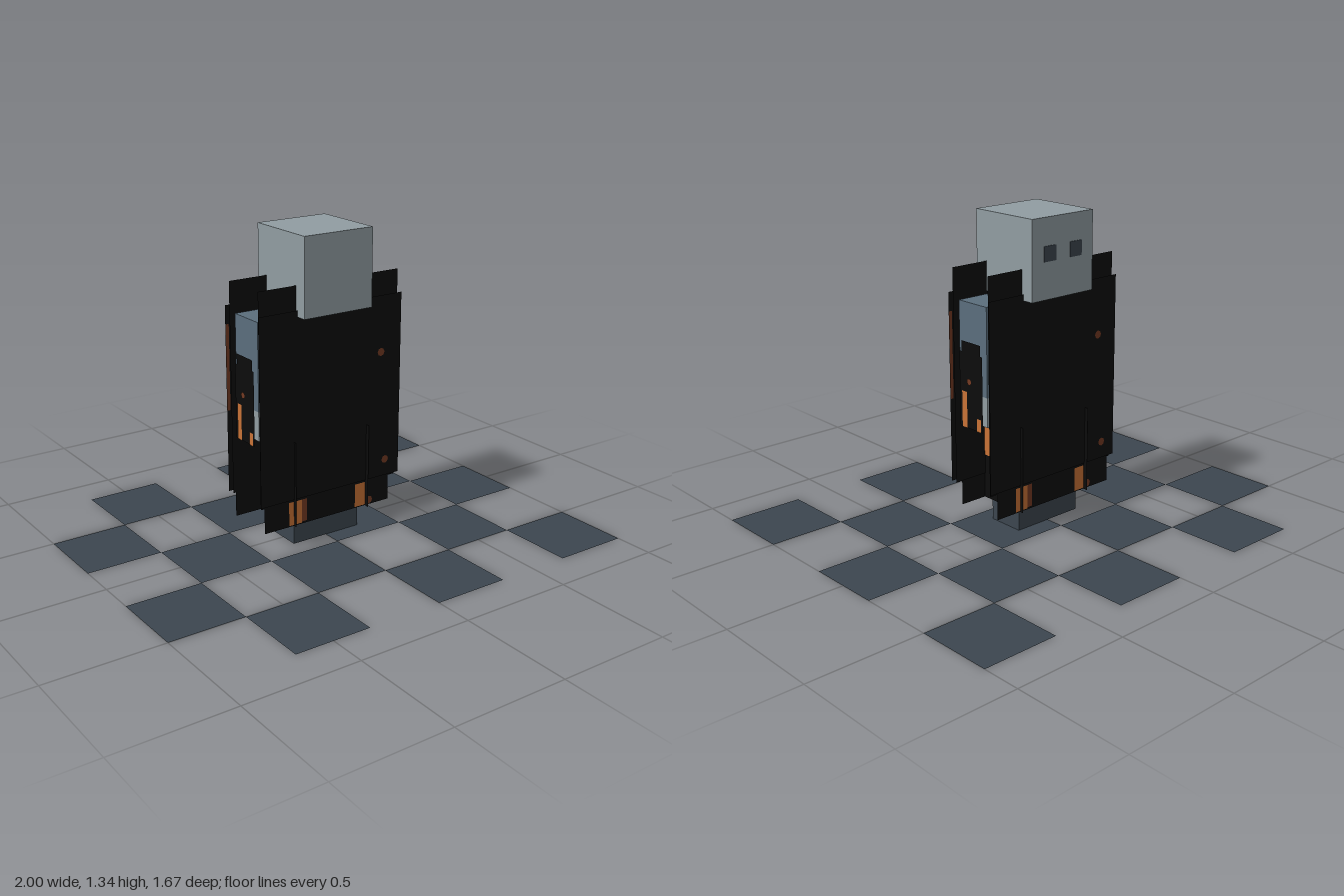
import * as THREE from 'three';

const mat = (name, color, side = THREE.FrontSide) => {
  const m = new THREE.MeshStandardMaterial({ color, side });
  m.name = name;
  return m;
};

export function createModel() {
  const root = new THREE.Group();
  root.name = 'coatedFigure';
  const D = THREE.DoubleSide;
  const skin = mat('pale grey', 0x919da2);
  const shirt = mat('slate blue', 0x5b6e7d);
  const dark = mat('dark slate', 0x3c464f, D);
  const black = mat('charred black', 0x0c0c0c, D);
  const orange = mat('ember orange', 0xc87236, D);
  const brown = mat('rust brown', 0x743a22, D);

  const add = (parent, name, geo, m, x, y, z, ry = 0) => {
    const mesh = new THREE.Mesh(geo, m);
    mesh.name = name;
    mesh.position.set(x, y, z);
    mesh.rotation.y = ry;
    parent.add(mesh);
  };
  const box = (name, m, w, h, d, x, y, z = 0) =>
    add(root, name, new THREE.BoxGeometry(w, h, d), m, x, y, z);
  // upright sheet facing z, from (x0, y0) to (x1, y1)
  const sheet = (p, name, m, x0, x1, y0, y1, z) =>
    add(p, name, new THREE.PlaneGeometry(x1 - x0, y1 - y0), m, (x0 + x1) / 2, (y0 + y1) / 2, z);
  // upright sheet facing x, from (z0, y0) to (z1, y1)
  const sideSheet = (p, name, m, z0, z1, y0, y1, x) =>
    add(p, name, new THREE.PlaneGeometry(z1 - z0, y1 - y0), m, x, (y0 + y1) / 2, (z0 + z1) / 2, Math.PI / 2);
  const spot = (p, x, y, z, ry = 0, r = 0.018) =>
    add(p, 'rustSpot', new THREE.CircleGeometry(r, 8), brown, x, y, z, ry);

  // Chequered floor
  const t = 1 / 3;
  const floor = new THREE.Group();
  floor.name = 'chequeredFloor';
  root.add(floor);
  for (let r = 0; r < 5; r++) {
    for (let c = (r + 1) % 2; c < 6; c += 2) {
      const tile = new THREE.PlaneGeometry(t, t).rotateX(-Math.PI / 2);
      add(floor, 'floorTile', tile, dark, -1 + (c + 0.5) * t, 0, (r - 2) * t);
    }
  }

  // Blocky body
  box('head', skin, t, t, t, 0, 1.167 + 0.003);
  box('torso', shirt, t, 0.5, 0.167, 0, 0.75);
  for (const s of [-1, 1]) {
    const side = s > 0 ? 'left' : 'right';
    box(side + 'Sleeve', shirt, 0.167, 0.375, 0.167, s * 0.25, 0.8125);
    box(side + 'Hand', skin, 0.167, 0.125, 0.167, s * 0.25, 0.5625);
    box(side + 'Leg', dark, 0.167, 0.499, 0.167, s * 0.0833, 0.2505);
    box(side + 'Eye', dark, 0.063, 0.063, 0.006, s * 0.071, 1.19, -0.167);
  }

  // Each half of the coat: one broad face and one side, turned about y for the other half
  for (const s of [1, -1]) {
    const half = new THREE.Group();
    half.name = s > 0 ? 'coatHalfA' : 'coatHalfB';
    half.rotation.y = s > 0 ? 0 : Math.PI;
    root.add(half);

    // Broad layered panels
    sheet(half, 'coatUpperPanel', black, -0.345, 0.345, 0.21, 1.13, 0.107);
    sheet(half, 'coatOuterPanel', black, -0.35, 0.36, 0.22, 1.03, 0.117);
    sheet(half, 'coatSkirt', black, -0.32 - s * 0.01, 0.32 - s * 0.01, 0.1, 0.475, 0.112);
    spot(half, 0.255, 0.785, 0.12);
    spot(half, 0.285, 0.295, 0.12);

    // Glowing patches at the hem
    sheet(half, 'hemEmber', orange, -0.21, -0.145, 0.105, 0.21, 0.114);
    sheet(half, 'hemRust', brown, -0.145, -0.12, 0.11, 0.21, 0.114);
    sheet(half, 'hemEmber', orange, 0.13, 0.195, 0.105, 0.21, 0.114);
    spot(half, 0.205, 0.122, 0.115);

    // Lining marks
    sheet(half, 'edgeStripe', brown, 0.345, 0.36, 0.58, 0.95, 0.115);
    sheet(half, 'liningEmber', orange, -0.32, -0.29, 0.42, 0.62, 0.104);
    sheet(half, 'liningEmber', orange, -0.3, -0.26, 0.25, 0.36, 0.104);
    for (const [x, y] of [[-0.32, 1.02], [-0.3, 0.66], [-0.31, 0.33], [-0.27, 0.4]]) spot(half, x, y, 0.103);

    // Arm side panel
    sideSheet(half, 'armPanel', black, -0.068, 0.072, 0.475, 0.795, 0.345);
    sideSheet(half, 'armPanelTop', black, -0.056, 0.058, 0.795, 0.84, 0.345);
    sideSheet(half, 'armEmber', orange, 0.025, 0.055, 0.475, 0.63, 0.348);
    sideSheet(half, 'armEmber', orange, -0.06, -0.035, 0.475, 0.53, 0.348);
    spot(half, 0.349, 0.675, 0.01, Math.PI / 2, 0.014);

    // Leg side panel
    sideSheet(half, 'legPanel', black, -0.13, 0.135, 0.1, 0.475, 0.185);
    sideSheet(half, 'legEmber', orange, -0.03, 0.02, 0.105, 0.35, 0.188);
    sideSheet(half, 'legRust', brown, -0.03, -0.005, 0.35, 0.4, 0.188);
    sideSheet(half, 'legEmber', orange, 0.068, 0.122, 0.295, 0.42, 0.188);
    sideSheet(half, 'legRust', brown, 0.075, 0.125, 0.42, 0.472, 0.188);
    spot(half, 0.189, 0.122, -0.04, Math.PI / 2, 0.016);
    spot(half, 0.189, 0.31, 0.06, Math.PI / 2, 0.012);
  }
  return root;
}
